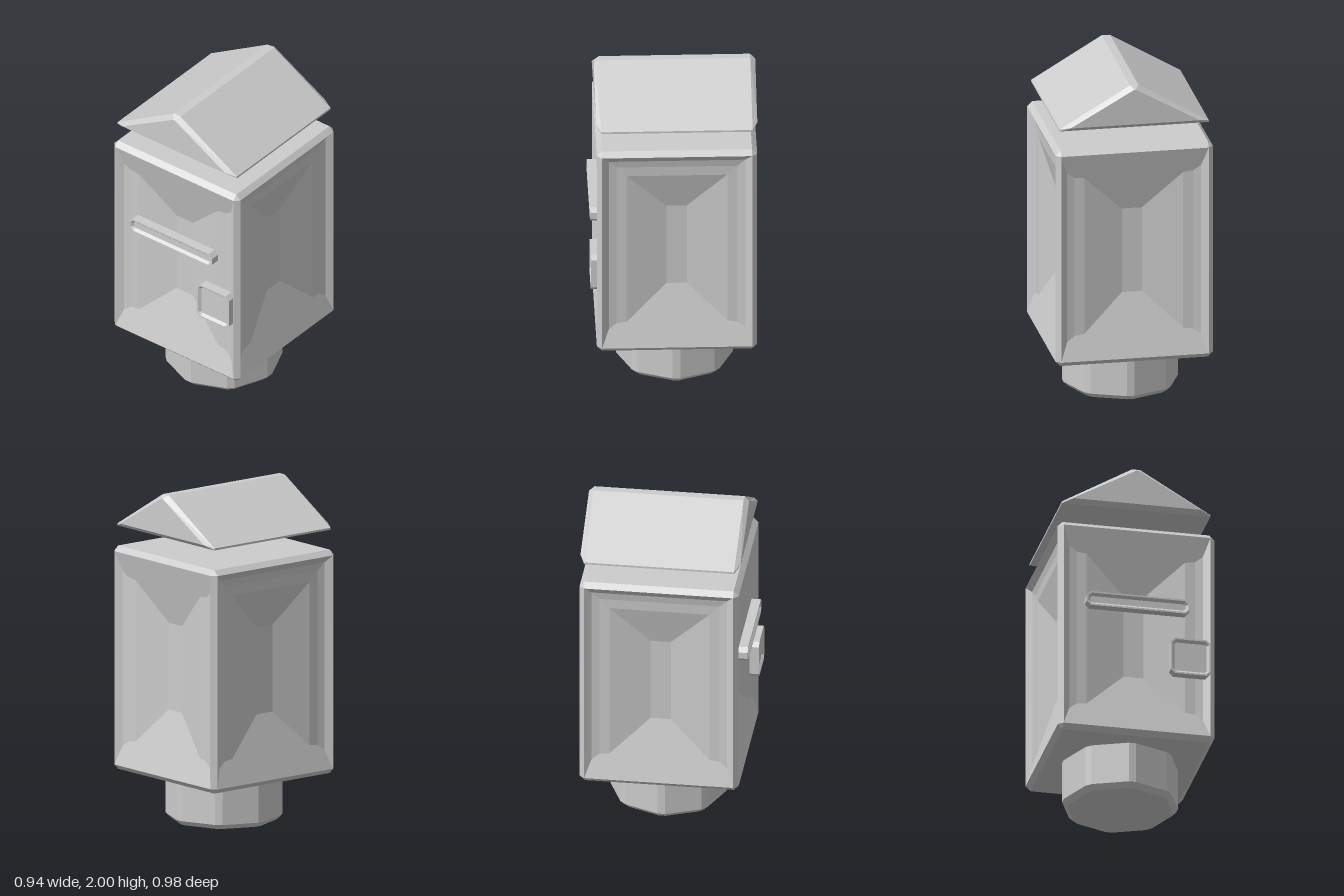
import * as THREE from 'three';

const grey = new THREE.MeshStandardMaterial({ color: 0xcccccc });
grey.name = 'plain grey';
grey.flatShading = true;

// Adds a flat polygon as a triangle fan, skipping empty triangles
function addPoly(out, pts) {
  for (let i = 1; i < pts.length - 1; i++) {
    const [a, b, c] = [pts[0], pts[i], pts[i + 1]];
    const n = b.clone().sub(a).cross(c.clone().sub(a));
    if (n.length() > 1e-9) for (const p of [a, b, c]) out.push(p.x, p.y, p.z);
  }
}

function toGeometry(out) {
  const g = new THREE.BufferGeometry();
  g.setAttribute('position', new THREE.Float32BufferAttribute(out, 3));
  g.computeVertexNormals();
  return g;
}

// Joins rings [points, level] along an axis; skip(level, side) leaves a side open
function loft(rings, axis, skip = () => false) {
  const place = axis === 'y'
    ? (p, w) => new THREE.Vector3(p[1], w, p[0])
    : (p, w) => new THREE.Vector3(p[0], p[1], w);
  const loops = rings.map(([pts, w]) => pts.map((p) => place(p, w)));
  const out = [];
  for (let r = 0; r < loops.length - 1; r++) {
    const a = loops[r], b = loops[r + 1], n = a.length;
    for (let i = 0; i < n; i++) {
      const j = (i + 1) % n;
      if (!skip(r, i)) addPoly(out, [a[i], a[j], b[j], b[i]]);
    }
  }
  addPoly(out, [...loops[0]].reverse());
  addPoly(out, loops[loops.length - 1]);
  return toGeometry(out);
}

// Rectangle with cut corners, counter-clockwise
function cutRect(u0, u1, v0, v1, c) {
  return [[u1, v0 + c], [u1, v1 - c], [u1 - c, v1], [u0 + c, v1],
    [u0, v1 - c], [u0, v0 + c], [u0 + c, v0], [u1 - c, v0]];
}

// Dished panel facing +z; its sides step in, its ends are sloped or stepped
function dish(steppedTop) {
  const profile = [[0, 0], [0.04, 0.03], [0.085, 0.039], [0.145, 0.041], [0.38, 0.1]];
  const bottom = 0.31, top = 1.59, half = 0.44, face = 0.47;
  const slope = (d) => d * 3.8;
  const chain = (side, isTop) => profile.map(([dx, d]) => new THREE.Vector3(
    side * (half - dx),
    isTop ? top - (steppedTop ? dx : slope(d)) : bottom + slope(d),
    face - d));
  const tl = chain(-1, true), tr = chain(1, true);
  const bl = chain(-1, false), br = chain(1, false);
  const out = [];
  for (let i = 0; i < profile.length - 1; i++) {
    const j = i + 1;
    addPoly(out, [bl[i], bl[j], tl[j], tl[i]]);
    addPoly(out, [br[j], br[i], tr[i], tr[j]]);
    addPoly(out, [tl[i], tl[j], tr[j], tr[i]]);
    addPoly(out, [bl[i], br[i], br[j], bl[j]]);
  }
  const e = profile.length - 1;
  addPoly(out, [bl[e], br[e], tr[e], tl[e]]);
  return toGeometry(out);
}

// Raised plate with a rim and a shallow recess
function rimPlate(x0, x1, y0, y1) {
  const ring = (s, c) => cutRect(x0 + s, x1 - s, y0 + s, y1 - s, c);
  return loft([[ring(0, 0.025), 0.45], [ring(0, 0.025), 0.505],
    [ring(0.01, 0.02), 0.505], [ring(0.025, 0.008), 0.49]], 'z');
}

export function createModel() {
  const group = new THREE.Group();
  const add = (name, geometry, parent = group) => {
    const mesh = new THREE.Mesh(geometry, grey);
    mesh.name = name;
    parent.add(mesh);
    return mesh;
  };

  // Eight-sided foot with bevelled corners
  const octagon = (r) => Array.from({ length: 16 }, (_, i) => {
    const a = Math.floor(i / 2) * Math.PI / 4 + (i % 2 ? 0.065 : -0.065);
    return [r * Math.cos(a), r * Math.sin(a)];
  });
  add('foot', loft([[octagon(0.312), 0], [octagon(0.343), 0.03], [octagon(0.343), 0.3]], 'y'));

  // Bevelled body frame, left open where the dished panels sit
  const body = new THREE.Group();
  body.name = 'body';
  group.add(body);
  const wide = cutRect(-0.47, 0.47, -0.47, 0.47, 0.03);
  const narrow = cutRect(-0.44, 0.44, -0.44, 0.44, 0);
  add('bodyFrame', loft([[narrow, 0.28], [wide, 0.31], [wide, 1.59], [narrow, 1.62]],
    'y', (level, side) => level === 1 && side % 2 === 0), body);

  // Dished panels on all four sides
  ['frontPanel', 'leftPanel', 'backPanel', 'rightPanel'].forEach((name, i) => {
    add(name, dish(i % 2 === 1), body).rotation.y = i * Math.PI / 2;
  });

  // Floating gabled roof with bevelled ends
  const gable = (x, y0, y1, ridge, peak) =>
    [[-x, y0], [x, y0], [x, y1], [ridge, peak], [-ridge, peak], [-x, y1]];
  const outer = gable(0.445, 1.74, 1.752, 0.025, 2);
  const inner = gable(0.38, 1.765, 1.768, 0.005, 1.98);
  add('roof', loft([[inner, -0.473], [outer, -0.443], [outer, 0.443], [inner, 0.473]], 'z'));

  // Slot and small plate on the front
  add('slot', rimPlate(-0.31, 0.31, 1.07, 1.16));
  add('smallPlate', rimPlate(0.195, 0.435, 0.68, 0.91));

  group.position.z = -0.015;
  const model = new THREE.Group();
  model.name = 'postBox';
  model.add(group);
  return model;
}
